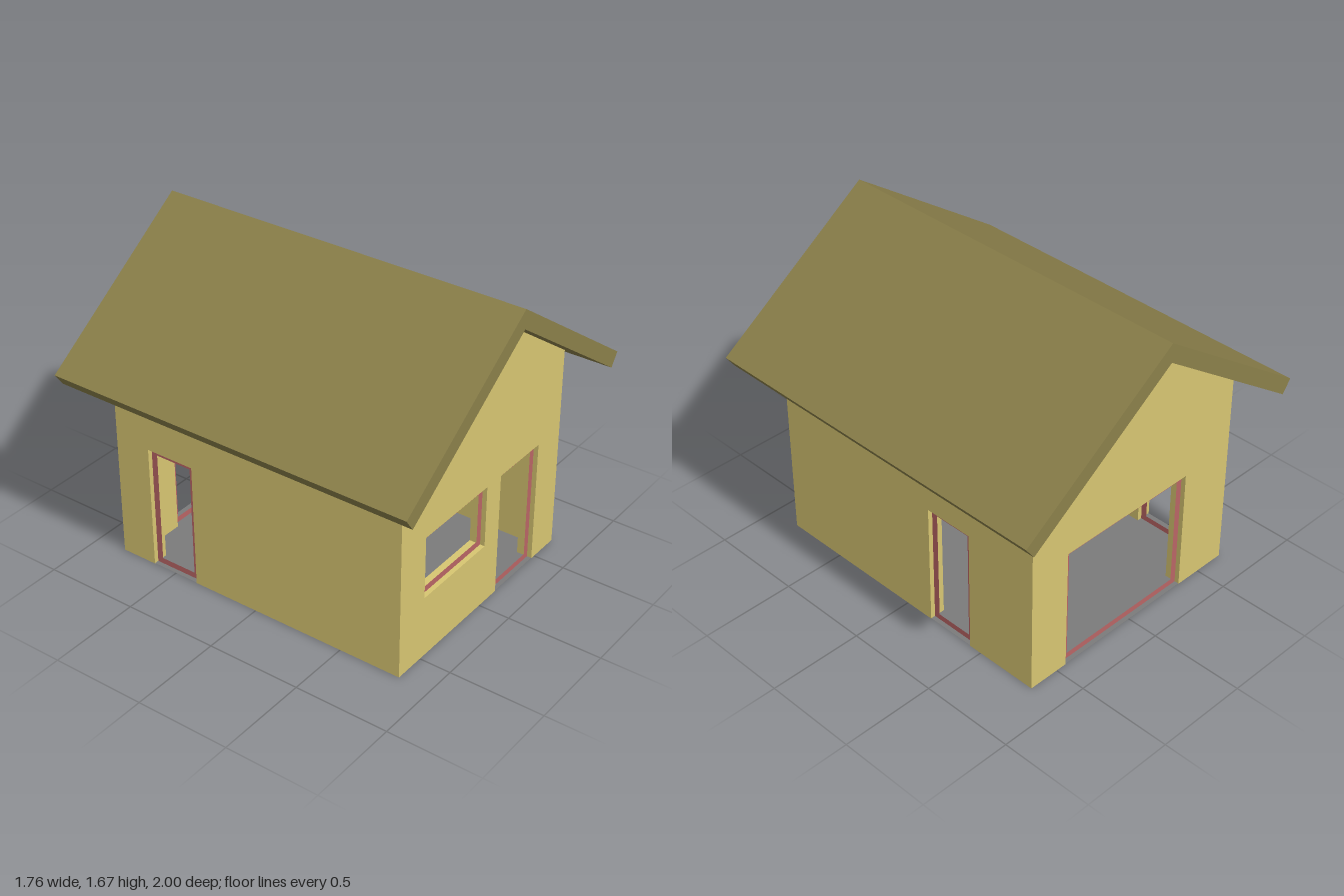
import * as THREE from 'three';

const T = 0.083;        // wall thickness
const W = 0.667;        // half width of the house
const D = 0.833;        // half depth of the house
const BAR = 0.033;      // frame bar width
const FRAME_DEPTH = 0.033;
const SLOPE = 0.7;
const APEX = 1.567;     // underside of the ridge

const material = (color) => new THREE.MeshStandardMaterial({ color });

function extrude(shape, depth, z, mat, name) {
  const geometry = new THREE.ExtrudeGeometry(shape, { depth, bevelEnabled: false });
  geometry.translate(0, 0, z);
  const mesh = new THREE.Mesh(geometry, mat);
  mesh.name = name;
  return mesh;
}

const shapeOf = (points) => new THREE.Shape(points.map(([x, y]) => new THREE.Vector2(x, y)));

function rectPath(x0, y0, x1, y1, Kind = THREE.Path) {
  return new Kind([[x0, y0], [x0, y1], [x1, y1], [x1, y0]].map(([x, y]) => new THREE.Vector2(x, y)));
}

// A wall in its own plane, outer face at local z = 0, with its openings framed.
// Openings that start at the ground cut a notch, the others a hole.
function wallPanel(name, half, upper, openings, mats) {
  const group = new THREE.Group();
  group.name = name;
  const bottom = [[-half, 0]];
  for (const o of openings.filter((o) => o.y0 === 0)) {
    bottom.push([o.x0, 0], [o.x0, o.y1], [o.x1, o.y1], [o.x1, 0]);
  }
  bottom.push([half, 0]);
  const shape = shapeOf([...bottom, ...upper]);
  for (const o of openings.filter((o) => o.y0 > 0)) {
    shape.holes.push(rectPath(o.x0, o.y0, o.x1, o.y1));
  }
  group.add(extrude(shape, T, -T, mats.wall, name + 'Panel'));

  for (const o of openings) {
    const frame = rectPath(o.x0, o.y0, o.x1, o.y1, THREE.Shape);
    frame.holes.push(rectPath(o.x0 + BAR, o.y0 + BAR, o.x1 - BAR, o.y1 - BAR));
    group.add(extrude(frame, FRAME_DEPTH, -(T + FRAME_DEPTH) / 2, mats.frame, o.name));
  }
  return group;
}

export function createModel() {
  const model = new THREE.Group();
  model.name = 'house';
  const mats = {
    wall: material(0xd8c672),
    frame: material(0xb96565),
    roof: material(0x8b804a),
    floor: material(0x7b7b7b),
  };

  const eave = APEX - SLOPE * W;
  const gable = [[W, eave], [0, APEX], [-W, eave]];
  const sideHalf = D - T;
  const sideTop = APEX - SLOPE * (W - T);   // runs up into the roof
  const flat = [[sideHalf, sideTop], [-sideHalf, sideTop]];

  // Gable walls
  const front = wallPanel('frontWall', W, gable, [
    { name: 'frontWindowFrame', x0: -0.475, x1: 0.025, y0: 0.333, y1: 0.667 },
    { name: 'frontDoorFrame', x0: 0.142, x1: 0.475, y0: 0, y1: 0.667 },
  ], mats);
  front.position.z = D;

  const back = wallPanel('backWall', W, gable, [
    { name: 'backDoorFrame', x0: -0.44, x1: 0.36, y0: 0, y1: 0.667 },
  ], mats);
  back.position.z = -D;
  back.rotation.y = Math.PI;

  // Side walls
  const left = wallPanel('leftWall', sideHalf, flat, [
    { name: 'leftDoorFrame', x0: 0.163, x1: 0.43, y0: 0, y1: 0.667 },
  ], mats);
  left.position.x = W;
  left.rotation.y = Math.PI / 2;

  const right = wallPanel('rightWall', sideHalf, flat, [
    { name: 'rightDoorFrame', x0: -0.635, x1: -0.367, y0: 0, y1: 0.667 },
  ], mats);
  right.position.x = -W;
  right.rotation.y = -Math.PI / 2;

  // Pitched roof, overhanging on all sides
  const roof = extrude(shapeOf([
    [0, APEX], [0.833, APEX - SLOPE * 0.833], [0.88, APEX + 0.1 - SLOPE * 0.88],
    [0, APEX + 0.1],
    [-0.88, APEX + 0.1 - SLOPE * 0.88], [-0.833, APEX - SLOPE * 0.833],
  ]), 2, -1, mats.roof, 'roof');

  // Thin floor reaching under the door openings
  mats.floor.side = THREE.DoubleSide;
  const floor = new THREE.Mesh(new THREE.PlaneGeometry(2 * W - 0.002, 2 * D - 0.002), mats.floor);
  floor.name = 'floor';
  floor.rotation.x = -Math.PI / 2;
  floor.position.y = 0.002;

  model.add(front, back, left, right, roof, floor);
  return model;
}
